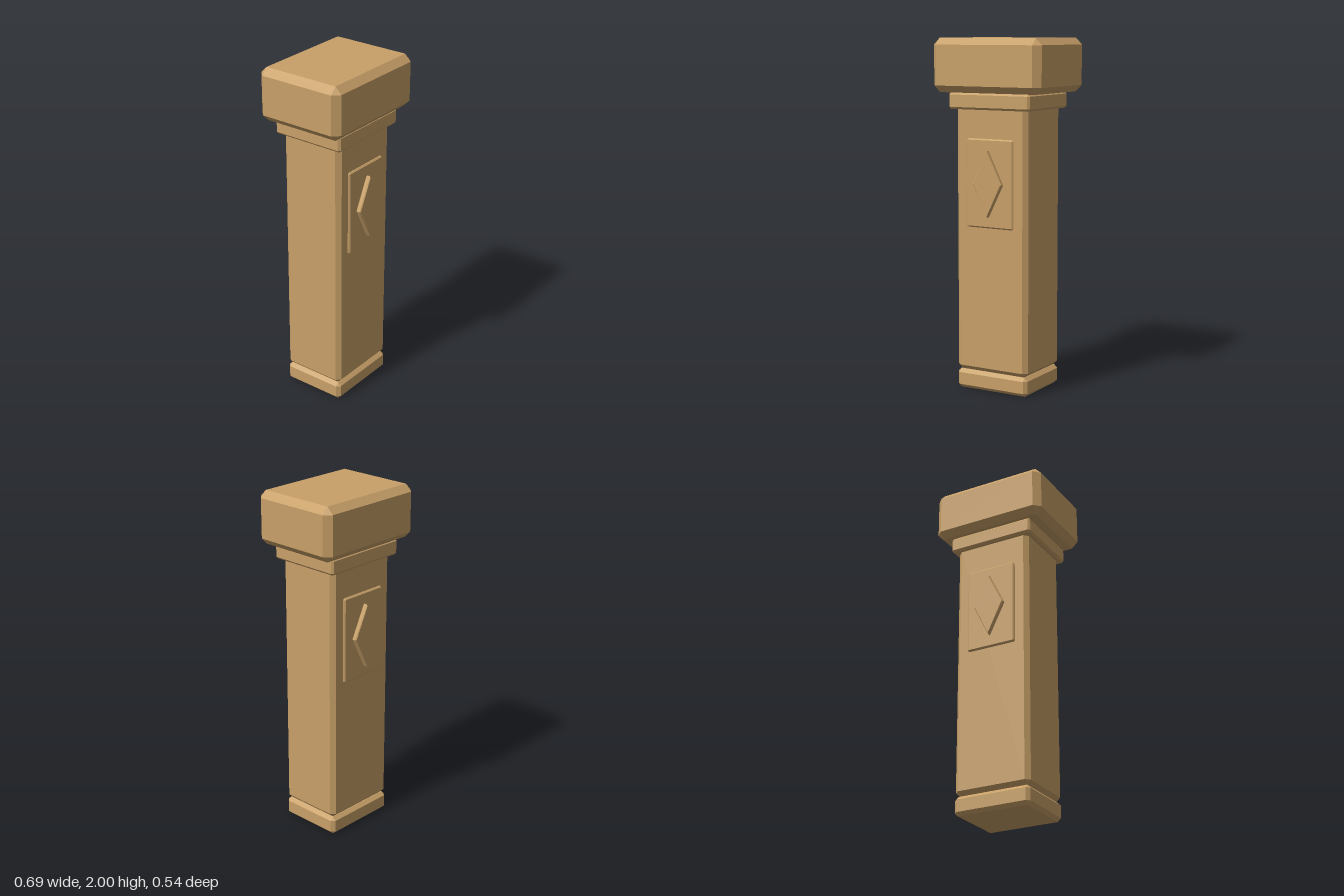
import * as THREE from 'three';
import { ConvexGeometry } from 'three/addons/geometries/ConvexGeometry.js';

const sandstone = new THREE.MeshStandardMaterial({ color: 0xc8a068 });
sandstone.name = 'sandstone';

// Box with all edges chamfered, from y0 to y1, centred on x and z.
function chamferBox(name, halfX, halfZ, y0, y1, c) {
  const halfY = (y1 - y0) / 2;
  const points = [];
  for (const sx of [-1, 1]) for (const sy of [-1, 1]) for (const sz of [-1, 1]) {
    points.push(
      new THREE.Vector3(sx * halfX, sy * (halfY - c), sz * (halfZ - c)),
      new THREE.Vector3(sx * (halfX - c), sy * halfY, sz * (halfZ - c)),
      new THREE.Vector3(sx * (halfX - c), sy * (halfY - c), sz * halfZ)
    );
  }
  const mesh = new THREE.Mesh(new ConvexGeometry(points), sandstone);
  mesh.name = name;
  mesh.position.y = (y0 + y1) / 2;
  return mesh;
}

// Raised diamond with bevelled rims, its back at z = 0.
function diamond(halfW, halfH, depth, bevel) {
  const shape = new THREE.Shape([
    new THREE.Vector2(halfW, 0), new THREE.Vector2(0, halfH),
    new THREE.Vector2(-halfW, 0), new THREE.Vector2(0, -halfH)
  ]);
  const geometry = new THREE.ExtrudeGeometry(shape, {
    depth: depth - 2 * bevel, bevelEnabled: true, bevelSegments: 1,
    bevelThickness: bevel, bevelSize: bevel, bevelOffset: -bevel
  });
  geometry.translate(0, 0, bevel);
  const mesh = new THREE.Mesh(geometry, sandstone);
  mesh.name = 'diamond';
  return mesh;
}

export function createModel() {
  const model = new THREE.Group();
  model.name = 'stonePillar';

  // Stacked blocks
  model.add(
    chamferBox('base', 0.23, 0.193, 0, 0.11, 0.02),
    chamferBox('shaft', 0.23, 0.193, 0.11, 1.64, 0.025),
    chamferBox('neck', 0.26, 0.22, 1.605, 1.698, 0.012),
    chamferBox('cap', 0.345, 0.268, 1.698, 2, 0.038)
  );

  // Ornament on the front and back
  for (const [name, angle] of [['frontOrnament', 0], ['backOrnament', Math.PI]]) {
    const ornament = new THREE.Group();
    ornament.name = name;
    const panel = chamferBox('panel', 0.15, 0.02, 0.945, 1.445, 0.008);
    panel.position.z = 0.185;
    const gem = diamond(0.093, 0.186, 0.03, 0.006);
    gem.position.set(0, 1.195, 0.205);
    ornament.add(panel, gem);
    ornament.rotation.y = angle;
    model.add(ornament);
  }
  return model;
}
